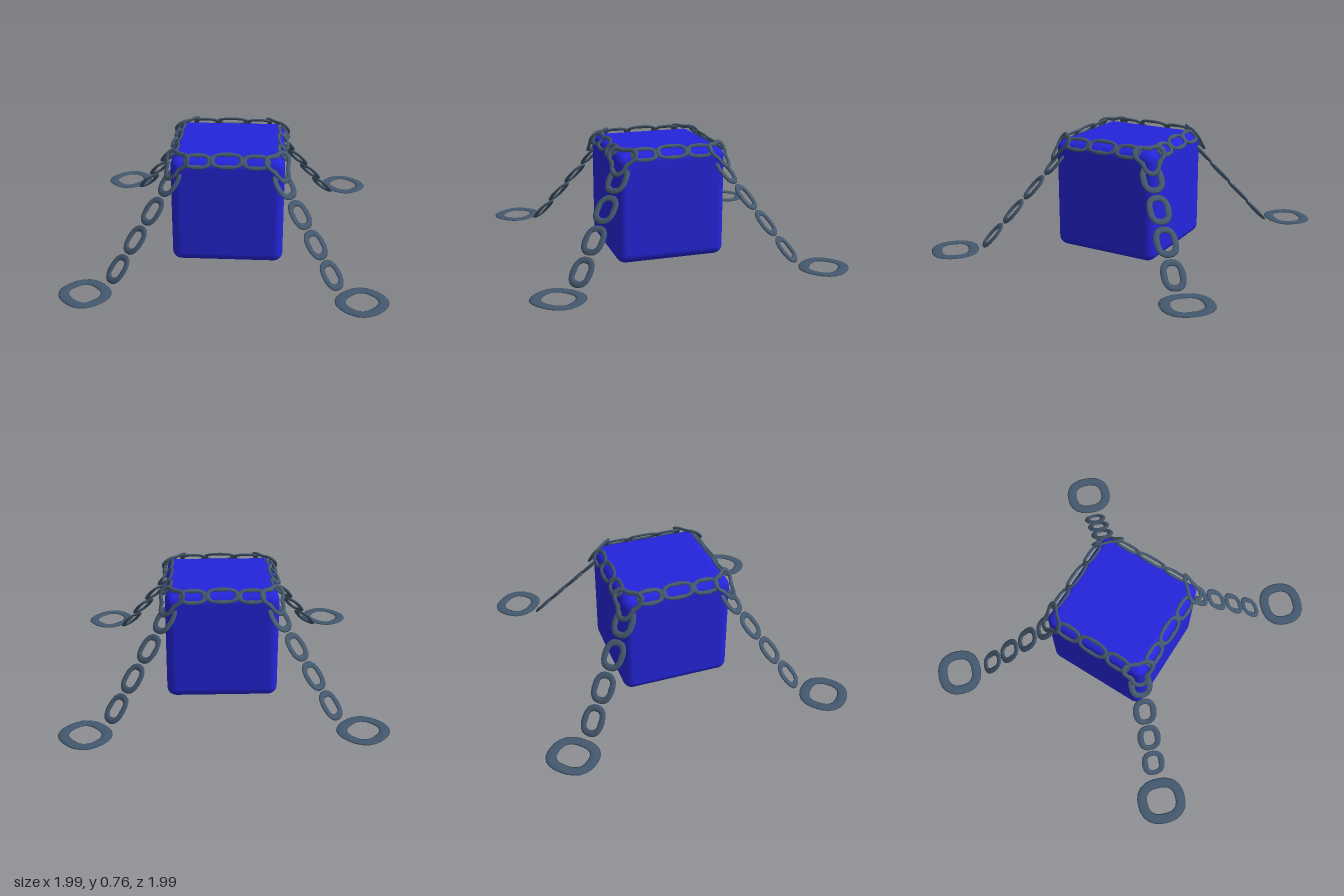
import * as THREE from 'three';
import { mergeVertices } from 'three/addons/utils/BufferGeometryUtils.js';
import { RoundedBoxGeometry } from 'three/addons/geometries/RoundedBoxGeometry.js';

const steel = new THREE.MeshStandardMaterial({ color: 0x44586e });
const blue = new THREE.MeshStandardMaterial({ color: 0x2525dd });
const V = (x, y, z) => new THREE.Vector3(x, y, z);

// Flat ring whose centreline follows radius(angle); w and t are half width and half thickness
function ring(radius, w, t, segments = 24) {
  const g = new THREE.TorusGeometry(1, 0.5, 8, segments);
  g.deleteAttribute('uv');
  g.deleteAttribute('normal');
  const p = g.attributes.position;
  for (let i = 0; i < p.count; i++) {
    const x = p.getX(i), y = p.getY(i), z = p.getZ(i);
    const angle = Math.atan2(y, x);
    const r = radius(angle) + w * (Math.hypot(x, y) - 1) / 0.5;
    p.setXYZ(i, r * Math.cos(angle), r * Math.sin(angle), t * z / 0.5);
  }
  const merged = mergeVertices(g, 1e-5);
  merged.computeVertexNormals();
  return merged;
}

// Rounded-rectangle link with outer half length a and half width b
function link(a, b, w, t, power = 2.6) {
  const la = a - w, lb = b - w;
  return ring((u) => Math.pow(
    Math.pow(Math.abs(Math.cos(u)) / la, power) + Math.pow(Math.abs(Math.sin(u)) / lb, power),
    -1 / power), w, t);
}

// Places a ring with its length and width along the given directions
function place(parent, name, geometry, centre, along, across) {
  const mesh = new THREE.Mesh(geometry, steel);
  const x = along.clone().normalize(), y = across.clone().normalize();
  mesh.quaternion.setFromRotationMatrix(new THREE.Matrix4().makeBasis(x, y, x.clone().cross(y)));
  mesh.position.copy(centre);
  mesh.name = name;
  parent.add(mesh);
}

export function createModel() {
  const model = new THREE.Group();
  model.name = 'chainedCube';

  // Rounded cube
  const cube = new THREE.Mesh(new RoundedBoxGeometry(0.72, 0.72, 0.72, 4, 0.06), blue);
  cube.name = 'cube';
  cube.position.y = 0.363;
  model.add(cube);

  const longLink = link(0.108, 0.057, 0.015, 0.008, 3);
  const shortLink = link(0.09, 0.055, 0.015, 0.008, 3);
  const legLink = link(0.1, 0.077, 0.021, 0.009);
  const groundLink = link(0.15, 0.16, 0.033, 0.006, 2.5);
  const cornerRing = ring((u) => 0.083 + 0.02 * Math.cos(3 * u), 0.017, 0.009);

  // One edge chain, corner and leg chain per quarter turn
  for (let q = 0; q < 4; q++) {
    const quarter = new THREE.Group();
    quarter.name = 'chainQuarter' + (q + 1);
    quarter.rotation.y = q * Math.PI / 2;
    model.add(quarter);

    // Links lying across the top edge
    for (const x of [-0.183, 0, 0.183]) {
      place(quarter, 'edgeLink', x === 0 ? longLink : shortLink,
        V(x, x === 0 ? 0.722 : 0.716, 0.35), V(1, 0, 0), V(0, 1, -1));
    }

    // Three-sided ring around the cube corner
    const sideways = V(-1, 0, 1);
    place(quarter, 'cornerRing', cornerRing, V(0.327, 0.688, 0.327), V(1, -2, 1), sideways);

    // Chain sloping down to the ground
    const slope = V(0.1, -0.15, 0.1);
    for (let i = 0; i < 4; i++) {
      place(quarter, 'legLink', legLink,
        V(0.36 + 0.1 * i, 0.57 - 0.153 * i, 0.36 + 0.1 * i), slope, sideways);
    }

    // Large link lying flat at the end
    place(quarter, 'groundLink', groundLink, V(0.833, 0.036, 0.833), V(1, 0, 1), sideways);
  }
  return model;
}
